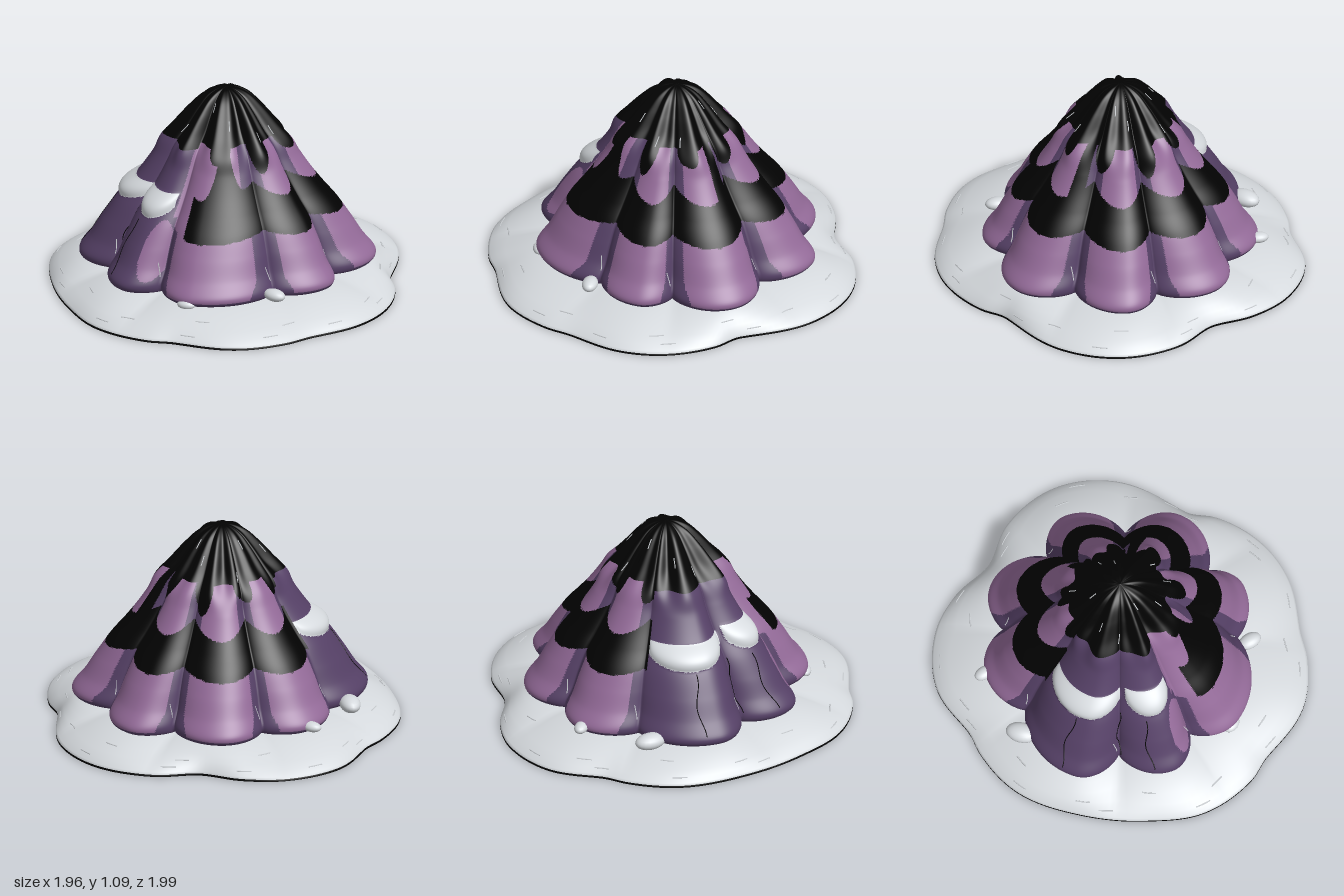
import * as THREE from 'three';

const RAD = Math.PI / 180;
const { clamp, smoothstep } = THREE.MathUtils;
const mat = (name, color) => {
  const m = new THREE.MeshStandardMaterial({ color, side: THREE.DoubleSide });
  m.name = name;
  return m;
};

// Petals: start angle (degrees from +x towards +z), tip radius factor, position of the tip across the petal
const PETALS = [
  [-21, 0.97, 0.38], [17, 1.0, 0.66], [74, 1.01, 0.4], [111, 1.03, 0.33],
  [164, 0.97, 0.55], [208, 1.01, 0.45], [252, 1.03, 0.4], [293, 1.05, 0.47], [339],
];

// Wavy outline of the snow skirt: angle, radius
const OUTLINE = [
  [-90, 0.995], [-71, 0.97], [-46, 0.87], [-36, 0.92], [-19, 0.975], [-5, 0.985], [12, 0.96],
  [22, 0.99], [38, 1.015], [57, 0.97], [66, 0.995], [84, 1.0], [102, 0.95], [123, 0.93],
  [146, 0.95], [163, 0.93], [172, 0.915], [189, 0.99], [207, 0.985], [221, 0.93], [236, 0.855], [251, 0.94],
];

const wrap = (deg, start) => ((deg - start) % 360 + 360) % 360 + start;

// Smooth periodic interpolation of the outline
function outlineRadius(deg) {
  const a = wrap(deg, -90), n = OUTLINE.length;
  const at = (i) => {
    const turns = Math.floor(i / n), [p, r] = OUTLINE[i - turns * n];
    return [p + 360 * turns, r];
  };
  let i = 0;
  while (a >= at(i + 1)[0]) i++;
  const [p, q, r, s] = [at(i - 1), at(i), at(i + 1), at(i + 2)];
  const w = r[0] - q[0], t = (a - q[0]) / w;
  const m0 = w * (r[1] - p[1]) / (r[0] - p[0]), m1 = w * (s[1] - q[1]) / (s[0] - q[0]);
  const t2 = t * t, t3 = t2 * t;
  return (2 * t3 - 3 * t2 + 1) * q[1] + (t3 - 2 * t2 + t) * m0 + (3 * t2 - 2 * t3) * r[1] + (t3 - t2) * m1;
}

// Which petal an angle falls in, and how far it bulges there
function petalAt(deg) {
  const a = wrap(deg, -21);
  let k = 0;
  while (k < 7 && a >= PETALS[k + 1][0]) k++;
  const [start, tip, peak] = PETALS[k];
  const s = (a - start) / (PETALS[k + 1][0] - start);
  const u = s < peak ? 0.5 * s / peak : 0.5 + 0.5 * (s - peak) / (1 - peak);
  return { a, tip, bulge: Math.sin(Math.PI * clamp(u, 0, 1)) };
}

// Pale ledges on the front: angular span and height span
const LEDGES = [[110, 162, 0.475, 0.59], [77, 107, 0.485, 0.615]];
function ledgeAmount(a, y) {
  let best = 0;
  for (const [a0, a1, y0, y1] of LEDGES) {
    const u = (a - a0) / (a1 - a0), arch = Math.sqrt(Math.max(0, Math.sin(Math.PI * clamp(u, 0, 1))));
    const low = y1 - 0.05 - (y1 - 0.05 - y0) * arch;
    if (u > 0 && u < 1 && y > low && y < y1) best = Math.max(best, arch * Math.sin(Math.PI * (y - low) / (y1 - low)));
  }
  return best;
}

const dripWave = (deg) => Math.sin(9 * deg * RAD + 0.6);

function mountainRadius(deg, y, r) {
  const { a, tip, bulge } = petalAt(deg);
  const flare = 1 - 0.25 * smoothstep(y, 0.18, 0.48);
  const lobe = 0.82 + (tip - 0.82) * flare * Math.pow(bulge, 0.8);
  const folds = 1 + (0.07 * dripWave(deg) + 0.05 * Math.sin(14 * deg * RAD)) * smoothstep(y, 0.7, 0.92);
  return r * lobe * folds + 0.04 * ledgeAmount(a, y);
}

// Colour of the rock at an angle and height
function mountainColour(deg, y) {
  const { a, bulge } = petalAt(deg);
  const front = a > 74 && a < 162;
  const drip = Math.sqrt(Math.max(0, dripWave(a)));
  const capEdge = front ? 0.825 : 0.85 - (0.11 + 0.04 * Math.sin(a * 0.11)) * drip;
  if (y > capEdge) return 'black';
  if (Math.abs(a - 303) < 5 && y > 0.6) return 'black';
  if (ledgeAmount(a, y) > 0) return 'pale';
  const bandLow = 0.455 - 0.035 * bulge;
  const bandTop = 0.68 - 0.08 * bulge + 0.3 * Math.exp(-(((a - 42) / 8) ** 2));
  if (!front && !(a > 64 && a < 75) && y > bandLow && y < bandTop) return 'black';
  if (y < bandLow || (front && y < 0.5)) {
    if (y < 0.15) return 'dark';
    if (front) return ((a - 79) / 6) ** 2 + ((y - 0.34) / 0.15) ** 2 < 1 ? 'light' : 'dark';
    return bulge > 0.36 + 0.15 * smoothstep(-y, -0.25, -0.15) ? 'light' : 'dark';
  }
  if (a >= 55 && a <= 76) return 'light';
  return !front && bulge > 0.48 ? 'light' : 'dark';
}

// Closed grid around the y axis; point(deg, j) gives [radius, height], pick names the part of a triangle
function ringGrid(around, rows, point, pick) {
  const pos = [], faces = {}, all = [];
  for (let j = 0; j <= rows; j++) {
    for (let i = 0; i < around; i++) {
      const deg = i * 360 / around, [r, y] = point(deg, j);
      pos.push(r * Math.cos(deg * RAD), y, r * Math.sin(deg * RAD));
    }
  }
  for (let j = 0; j < rows; j++) {
    for (let i = 0; i < around; i++) {
      const a = j * around + i, b = j * around + (i + 1) % around, c = b + around, d = a + around;
      for (const [f, tri] of [[1 / 3, [a, d, b]], [2 / 3, [b, d, c]]]) {
        (faces[pick((i + f) * 360 / around, j, f)] ??= []).push(...tri);
        all.push(...tri);
      }
    }
  }
  const whole = new THREE.BufferGeometry();
  whole.setAttribute('position', new THREE.Float32BufferAttribute(pos, 3));
  whole.setIndex(all);
  whole.computeVertexNormals();
  // every part shares the same smooth normals
  return Object.entries(faces).map(([key, index]) => {
    const g = new THREE.BufferGeometry();
    g.setAttribute('position', whole.attributes.position);
    g.setAttribute('normal', whole.attributes.normal);
    g.setIndex(index);
    return [key, g];
  });
}

export function createModel() {
  const model = new THREE.Group();
  model.name = 'mountain';
  const mats = {
    dark: mat('darkPurple', 0x554066),
    light: mat('lightPurple', 0x936a98),
    black: mat('black', 0x020202),
    pale: mat('snow', 0xd5d9dd),
  };
  const add = (name, geometry, material) => {
    const mesh = new THREE.Mesh(geometry, material);
    mesh.name = name;
    model.add(mesh);
    return mesh;
  };
  const polar = (deg, r, y) => new THREE.Vector3(r * Math.cos(deg * RAD), y, r * Math.sin(deg * RAD));
  const stroke = (name, pts, radius, material) =>
    add(name, new THREE.TubeGeometry(new THREE.CatmullRomCurve3(pts), pts.length * 2, radius, 4), material);

  // Mountain: petal-tip profile, open underneath
  const profile = new THREE.CatmullRomCurve3([
    [0.69, 0.11], [0.745, 0.135], [0.755, 0.165], [0.7, 0.25], [0.655, 0.35], [0.6, 0.45], [0.525, 0.54],
    [0.455, 0.63], [0.395, 0.72], [0.35, 0.8], [0.265, 0.89], [0.19, 0.98], [0.12, 1.05], [0.06, 1.08], [0.002, 1.09],
  ].map(([r, y]) => new THREE.Vector3(r, y, 0))).getSpacedPoints(136);
  const names = { dark: 'darkPetals', light: 'lightPetals', black: 'blackCapAndBand', pale: 'paleLedges' };
  const rock = ringGrid(480, 136,
    (deg, j) => [mountainRadius(deg, profile[j].y, profile[j].x), profile[j].y],
    (deg, j, f) => mountainColour(deg, profile[j].y + (profile[j + 1].y - profile[j].y) * f));
  for (const [key, g] of rock) add(names[key], g, mats[key]);

  // Snow skirt with a thin black rim, its inner edge following the petals
  const skirt = [[1, 0.002], [1, 0.014], [0.97, 0.024], [0.87, 0.046], [0.72, 0.07], [0.5, 0.094], [0.25, 0.118], [0, 0.13]];
  const skirtRadius = (deg, t) => {
    const inner = mountainRadius(deg, 0.13, 0.725);
    return inner + (outlineRadius(deg) - inner) * t;
  };
  const snow = ringGrid(180, skirt.length - 1,
    (deg, j) => [skirtRadius(deg, skirt[j][0]), skirt[j][1]],
    (deg, j) => (j === 0 ? 'black' : 'pale'));
  for (const [key, g] of snow) add(key === 'black' ? 'skirtRim' : 'snowSkirt', g, mats[key]);

  // Short raised strokes scattered around the skirt
  for (let i = 0; i < 26; i++) {
    const deg = i * 13.85 + 5 * Math.sin(i * 2.7), [t, y] = skirt[[3, 4, 3, 5][i % 4]];
    stroke('skirtStroke', [0, 2.5, 5].map((d) => polar(deg + d, skirtRadius(deg + d, t), y)), 0.004, mats.pale);
  }

  // Lines running up the rock: wavering paths between two heights
  const rockLine = (name, deg, y0, y1, material) => stroke(name,
    profile.filter((p, j) => j % 3 === 0 && p.y > y0 && p.y < y1).map((p) => {
      const a = deg + 1.2 * Math.sin(p.y * 25);
      return polar(a, mountainRadius(a, p.y, p.x), p.y);
    }), 0.003, material);
  for (const deg of [97, 111, 135]) rockLine('creaseLine', deg, 0.16, 0.47, mats.black);
  for (const [deg] of PETALS.slice(0, 8)) rockLine('valleyGlint', deg + 2, 0.2, 0.3, mats.pale);
  for (let i = 0; i < 10; i++) {
    const y = 0.85 + 0.06 * (i % 3);
    rockLine('capGlint', i * 36 + 9 * Math.sin(i * 3), y, y + 0.07, mats.pale);
  }

  // Snow lumps at the foot of the petals: x, y, z, size, turn
  for (const [x, y, z, s, turn] of [
    [-0.66, 0.15, 0.28, 0.085, -0.6], [-0.73, 0.16, -0.1, 0.055, 0.2], [0.65, 0.16, 0.22, 0.065, 0.2], [0.4, 0.135, 0.62, 0.05, 0.5],
  ]) {
    const lump = add('snowLump', new THREE.SphereGeometry(1, 20, 12), mats.pale);
    lump.position.set(x, y, z);
    lump.scale.set(s, s * 0.5, s * 0.65);
    lump.rotation.y = turn;
  }
  return model;
}
